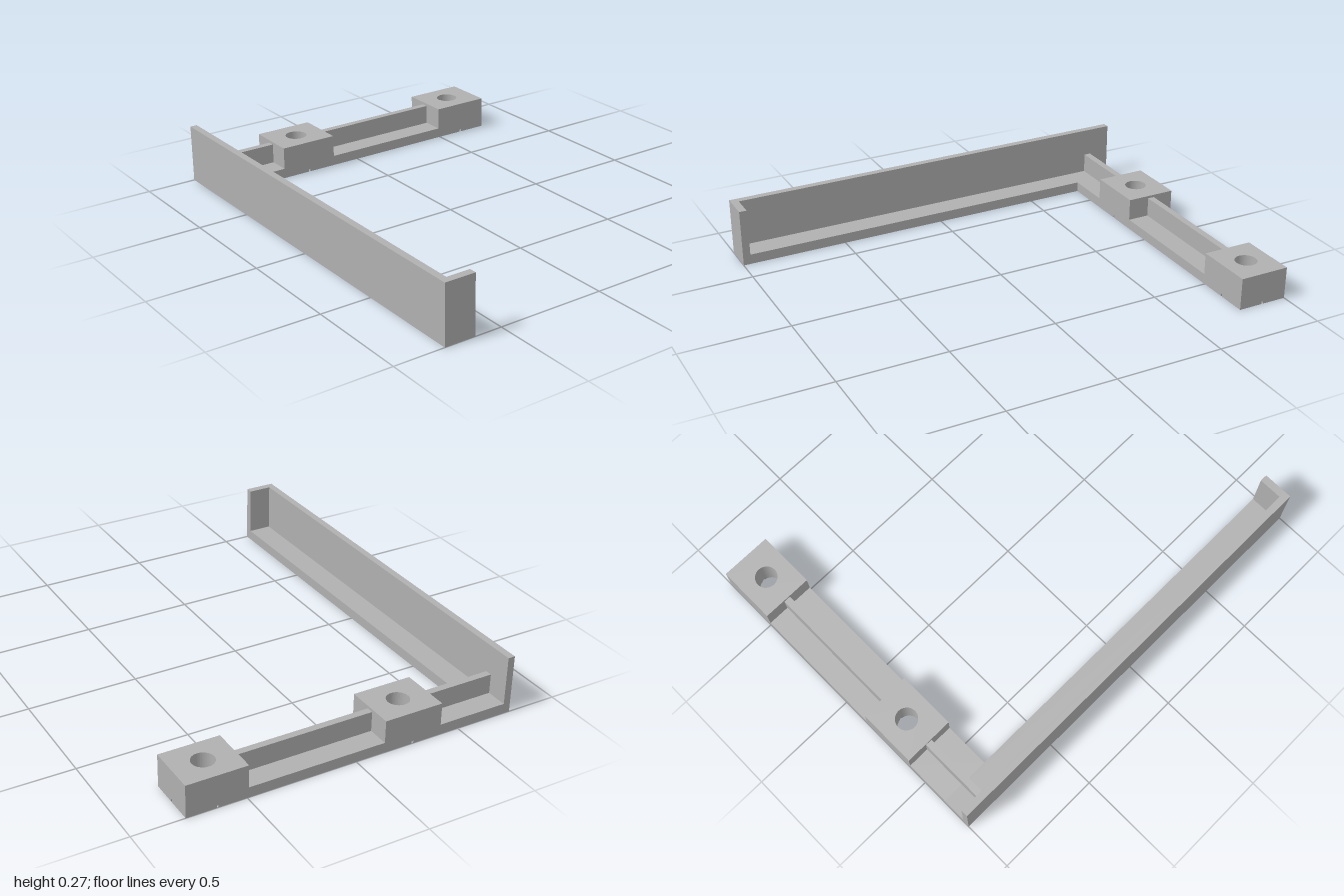
import * as THREE from 'three';

export function createModel() {
  const model = new THREE.Group();
  model.name = 'cornerBracket';
  const grey = new THREE.MeshStandardMaterial({ color: 0xb0b0b0 });
  grey.name = 'plain grey';

  const add = (name, geometry, parent = model) => {
    const mesh = new THREE.Mesh(geometry, grey);
    mesh.name = name;
    parent.add(mesh);
    return mesh;
  };

  // Box given by its limits on each axis
  const box = (name, x0, x1, y0, y1, z0, z1) =>
    add(name, new THREE.BoxGeometry(x1 - x0, y1 - y0, z1 - z0)
      .translate((x0 + x1) / 2, (y0 + y1) / 2, (z0 + z1) / 2));

  // Plan outline (x, z) raised between two heights
  const slab = (shape, y0, y1) =>
    new THREE.ExtrudeGeometry(shape, { depth: y1 - y0, bevelEnabled: false, curveSegments: 24 })
      .rotateX(Math.PI / 2).translate(0, y1, 0);

  const left = -0.7675, right = 0.7675, back = -1, inner = -0.765;
  const wallIn = -0.735, armIn = -0.625, floorTop = 0.047;

  // Long arm: floor, tall outer wall and end cap
  box('armFloor', wallIn, armIn, 0, floorTop, back, 0.965);
  box('armWall', left, wallIn, 0, 0.27, back, 1);
  box('armEndCap', wallIn, armIn, 0, 0.27, 0.965, 1);

  // Screw blocks with a through hole and cross-shaped marks cut in the underside
  const halfX = 0.1375, halfZ = 0.1175, radius = 0.05, groove = 0.004, grooveTop = 0.012;
  const blockZ = back + halfZ;
  const blockCentres = [-0.2725, right - halfX];

  const blockOutline = new THREE.Shape()
    .moveTo(-halfX, -halfZ).lineTo(halfX, -halfZ).lineTo(halfX, halfZ).lineTo(-halfX, halfZ).closePath();
  blockOutline.holes.push(new THREE.Path().absarc(0, 0, radius, 0, Math.PI * 2, true));

  const quadrant = (sx, sz) => {
    const pts = [[halfX, groove], [halfX, halfZ], [groove, halfZ]];
    const start = Math.asin(groove / radius);
    for (let i = 0; i <= 12; i++) {
      const a = Math.PI / 2 - start - (i / 12) * (Math.PI / 2 - 2 * start);
      pts.push([radius * Math.cos(a), radius * Math.sin(a)]);
    }
    return new THREE.Shape(pts.map(([x, z]) => new THREE.Vector2(sx * x, sz * z)));
  };

  blockCentres.forEach((x, i) => {
    const block = new THREE.Group();
    block.name = i ? 'outerScrewBlock' : 'innerScrewBlock';
    block.position.set(x, 0, blockZ);
    add('blockBody', slab(blockOutline, grooveTop, 0.15), block);
    for (const sx of [-1, 1])
      for (const sz of [-1, 1]) add('blockFoot', slab(quadrant(sx, sz), 0, grooveTop), block);
    model.add(block);
  });

  // Short arm: floor and middle rib between the blocks
  const spans = [
    [wallIn, blockCentres[0] - halfX],
    [blockCentres[0] + halfX, blockCentres[1] - halfX],
  ];
  spans.forEach(([x0, x1], i) => {
    box('crossFloor', i ? x0 : armIn, x1, 0, floorTop, back, inner);
    box('crossRib', x0, x1, floorTop, 0.138, -0.9, -0.868);
  });

  return model;
}
